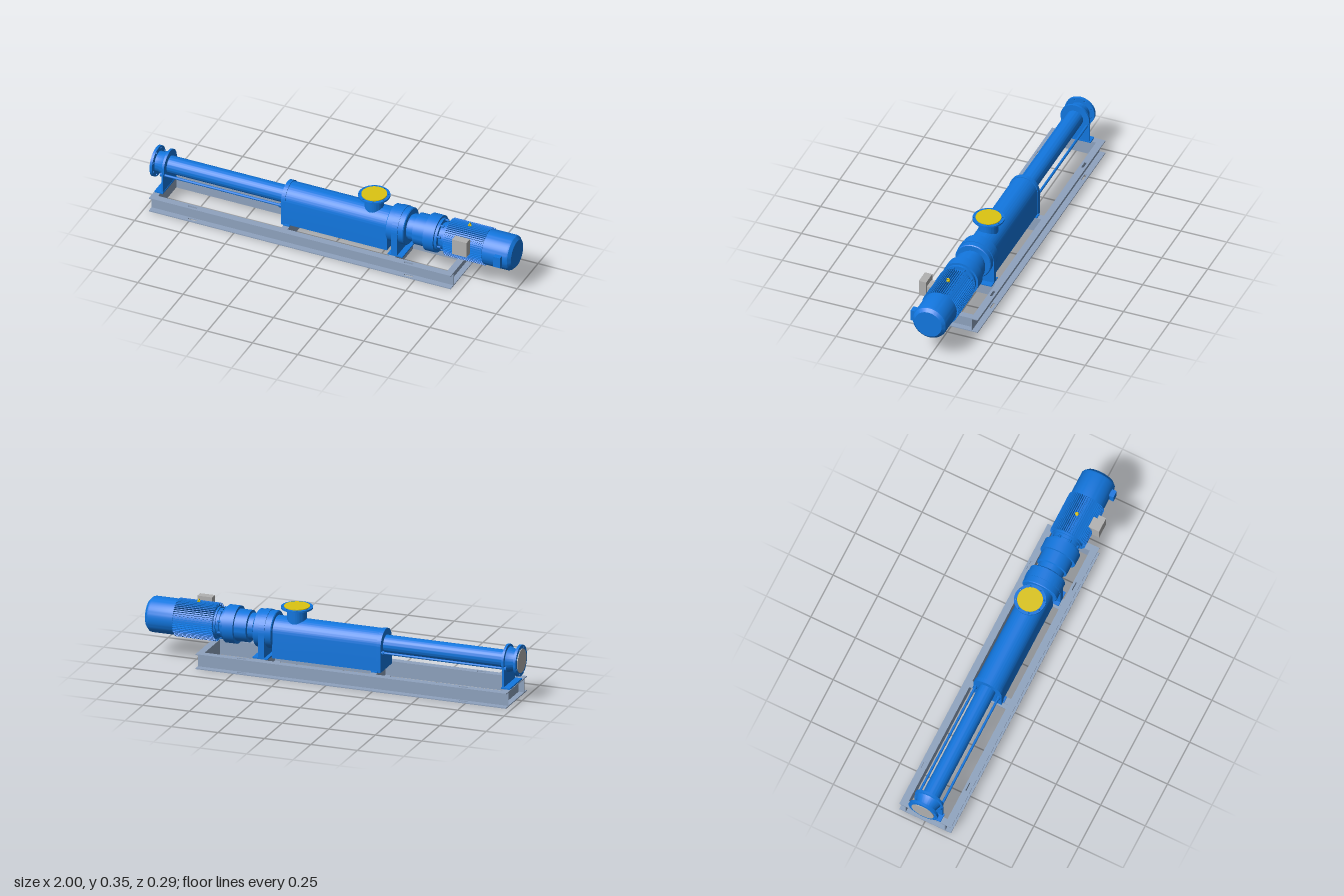
import * as THREE from 'three';
import { toCreasedNormals } from 'three/addons/utils/BufferGeometryUtils.js';

const mat = (color) => new THREE.MeshStandardMaterial({ color });
const AXIS = 0.212; // height of the pump shaft

export function createModel() {
  const model = new THREE.Group();
  const blue = mat(0x1277e0), steel = mat(0x8fa3bf), yellow = mat(0xdcc412), grey = mat(0xb2b2b2);

  const add = (name, geo, material, parent = model) => {
    const mesh = new THREE.Mesh(geo, material);
    mesh.name = name;
    parent.add(mesh);
    return mesh;
  };
  const group = (name) => {
    const g = new THREE.Group();
    g.name = name;
    model.add(g);
    return g;
  };
  // box given by its min and max on each axis
  const box = (name, x0, x1, y0, y1, z0, z1, material, parent) => {
    const m = add(name, new THREE.BoxGeometry(x1 - x0, y1 - y0, z1 - z0), material, parent);
    m.position.set((x0 + x1) / 2, (y0 + y1) / 2, (z0 + z1) / 2);
    return m;
  };
  const lathe = (profile, seg = 56) =>
    toCreasedNormals(new THREE.LatheGeometry(profile.map(([a, r]) => new THREE.Vector2(r, a)), seg), 0.5);
  // solid of revolution about the shaft, profile as [x, radius]
  const turned = (name, profile, material = blue, parent) => {
    const m = add(name, lathe(profile).rotateZ(-Math.PI / 2), material, parent);
    m.position.y = AXIS;
    return m;
  };
  const extrude = (shape, depth) =>
    toCreasedNormals(new THREE.ExtrudeGeometry(shape, { depth, bevelEnabled: false, curveSegments: 28 }), 0.5);
  // arch-topped plate across the shaft, from height y0 up
  const arch = (name, x0, x1, r, y0, parent) => {
    const s = new THREE.Shape();
    s.moveTo(-r, y0);
    s.lineTo(r, y0);
    s.lineTo(r, AXIS);
    s.absarc(0, AXIS, r, 0, Math.PI, false);
    s.closePath();
    const m = add(name, extrude(s, x1 - x0).rotateY(Math.PI / 2), blue, parent);
    m.position.x = x0;
    return m;
  };
  // round flange with bolt holes, extruded along z
  const flange = (r, depth, boltR, count) => {
    const s = new THREE.Shape();
    s.absarc(0, 0, r, 0, Math.PI * 2, false);
    for (let i = 0; i < count; i++) {
      const a = ((i + 0.5) / count) * Math.PI * 2;
      const h = new THREE.Path();
      h.absarc(boltR * Math.cos(a), boltR * Math.sin(a), 0.005, 0, Math.PI * 2, true);
      s.holes.push(h);
    }
    return extrude(s, depth);
  };

  // base frame: two outward-facing channels with slotted flanges
  const frame = group('baseFrame');
  const T = 0.005, H = 0.08;
  const strip = new THREE.Shape();
  strip.moveTo(-0.97, -0.0185);
  strip.lineTo(0.7, -0.0185);
  strip.lineTo(0.7, 0.0185);
  strip.lineTo(-0.97, 0.0185);
  strip.closePath();
  for (const x of [-0.735, 0.46]) {
    const slot = new THREE.Path();
    slot.moveTo(x - 0.024, -0.006);
    slot.lineTo(x - 0.024, 0.006);
    slot.lineTo(x + 0.024, 0.006);
    slot.lineTo(x + 0.024, -0.006);
    slot.closePath();
    strip.holes.push(slot);
  }
  const railFlange = extrude(strip, T).rotateX(-Math.PI / 2);
  for (const s of [-1, 1]) {
    box('railWeb', -0.97, 0.7, T, H - T, s * 0.1105 - 0.0025, s * 0.1105 + 0.0025, steel, frame);
    for (const y of [0, H - T]) add('railFlange', railFlange, steel, frame).position.set(0, y, s * 0.1265);
  }
  // cross channels: [outer x, direction in which the flanges run to the web]
  for (const [x, d] of [[-0.97, 1], [-0.255, 1], [0.34, 1], [0.7, -1]]) {
    const span = (a, b) => [Math.min(x + d * a, x + d * b), Math.max(x + d * a, x + d * b)];
    box('crossWeb', ...span(0.03, 0.035), T, H - T, -0.108, 0.108, steel, frame);
    for (const y of [0, H - T]) box('crossFlange', ...span(0, 0.035), y, y + T, -0.108, 0.108, steel, frame);
  }

  // discharge end
  const discharge = group('discharge');
  const outlet = add('outletFlange', flange(0.081, 0.014, 0.07, 8).rotateY(Math.PI / 2), blue, discharge);
  outlet.position.set(-0.996, AXIS, 0);
  turned('outletCover', [[-1, 0], [-1, 0.062], [-0.994, 0.062]], grey, discharge);
  turned('outletReducer', [[-0.983, 0.054], [-0.965, 0.054], [-0.932, 0.066], [-0.93, 0.078],
    [-0.918, 0.078], [-0.918, 0.045]], blue, discharge);
  box('outletSupport', -0.932, -0.922, H, AXIS - 0.02, -0.078, 0.078, blue, discharge);
  box('outletFoot', -0.967, -0.92, H, H + 0.007, -0.085, 0.085, blue, discharge);

  // stator tube with its tie rods
  turned('statorTube', [[-0.925, 0.045], [-0.265, 0.045]]);
  for (const z of [-0.065, 0.065]) {
    const rod = add('tieRod', new THREE.CylinderGeometry(0.0065, 0.0065, 0.67, 12).rotateZ(Math.PI / 2), blue);
    rod.position.set(-0.59, 0.183, z);
    for (const x of [-0.937, -0.28]) {
      const nut = add('tieRodNut', new THREE.CylinderGeometry(0.011, 0.011, 0.01, 6).rotateZ(Math.PI / 2), blue);
      nut.position.set(x, 0.183, z);
    }
  }

  // suction housing
  const housing = group('suctionHousing');
  arch('housingBody', -0.25, 0.315, 0.075, H + 0.004, housing);
  arch('housingEndPlate', -0.27, -0.248, 0.079, H, housing);
  box('housingFoot', -0.255, -0.22, H, H + 0.006, -0.085, 0.085, blue, housing);

  // inlet branch
  const inlet = group('inlet');
  inlet.position.x = 0.21;
  add('inletNeck', lathe([[0.24, 0.05], [0.335, 0.05], [0.341, 0.055]]), blue, inlet);
  add('inletFlange', flange(0.081, 0.009, 0.073, 8).rotateX(-Math.PI / 2), blue, inlet).position.y = 0.34;
  add('inletCover', lathe([[0.348, 0.065], [0.353, 0.065], [0.353, 0]]), yellow, inlet);

  // bearing housing and its bracket
  arch('bearingBracket', 0.35, 0.382, 0.1, H, model);
  box('bracketFoot', 0.33, 0.412, H, H + 0.006, -0.1, 0.1, blue);
  turned('bearingHousing', [[0.314, 0], [0.314, 0.093], [0.318, 0.097], [0.41, 0.097], [0.414, 0.093], [0.414, 0.06]]);

  // gearbox
  turned('gearbox', [[0.41, 0.064], [0.424, 0.064], [0.424, 0.07], [0.452, 0.07], [0.455, 0.082], [0.52, 0.082],
    [0.52, 0.097], [0.578, 0.097], [0.578, 0.085], [0.592, 0.085], [0.592, 0.066], [0.605, 0.066],
    [0.605, 0.073], [0.622, 0.073], [0.622, 0.08], [0.634, 0.08], [0.634, 0]]);
  for (let i = 0; i < 8; i++) {
    const a = ((i + 0.5) / 8) * Math.PI * 2;
    const bolt = add('gearboxBolt', new THREE.CylinderGeometry(0.006, 0.006, 0.02, 6).rotateZ(Math.PI / 2), blue);
    bolt.position.set(0.6, AXIS + 0.077 * Math.cos(a), 0.077 * Math.sin(a));
  }

  // motor: finned casing
  const motor = group('motor');
  const fins = new THREE.Shape();
  const N = 56, step = (Math.PI * 2) / N;
  for (let i = 0; i < N; i++) {
    for (const [f, r] of [[0, 0.086], [0.55, 0.086], [0.6, 0.098], [0.95, 0.098]]) {
      const a = (i + f) * step;
      fins[i + f === 0 ? 'moveTo' : 'lineTo'](r * Math.cos(a), r * Math.sin(a));
    }
  }
  fins.closePath();
  const casing = add('motorFins', new THREE.ExtrudeGeometry(fins, { depth: 0.215, bevelEnabled: false })
    .rotateY(Math.PI / 2), blue, motor);
  casing.position.set(0.632, AXIS, 0);
  turned('fanCover', [[0.845, 0.08], [0.845, 0.092], [0.975, 0.092], [0.985, 0.089], [1, 0.073], [1, 0]], blue, motor);
  box('terminalBox', 0.705, 0.785, 0.213, 0.3, 0.1, 0.14, grey, motor);
  box('terminalBoxNeck', 0.715, 0.775, 0.222, 0.27, 0.07, 0.1, grey, motor);
  box('sideBox', 0.92, 0.958, 0.18, 0.24, 0.07, 0.113, blue, motor);

  // lifting eye
  const eye = add('liftingEye', new THREE.TorusGeometry(0.007, 0.003, 8, 20), yellow, motor);
  eye.rotation.y = Math.PI / 2;
  eye.position.set(0.738, 0.314, 0);
  add('liftingEyeBase', new THREE.CylinderGeometry(0.009, 0.009, 0.008, 16), yellow, motor).position.set(0.738, 0.307, 0);

  return model;
}
